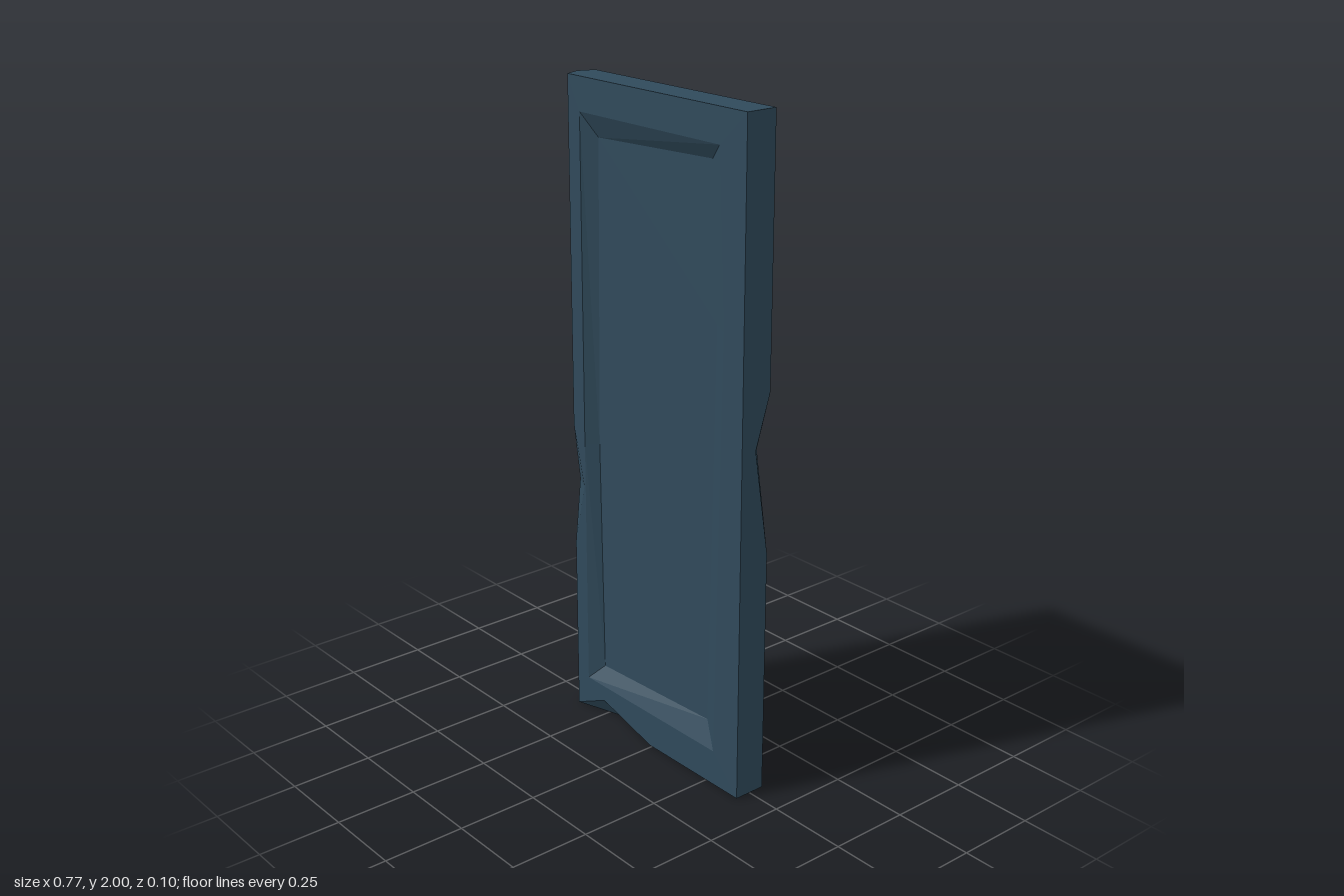
import * as THREE from 'three';

const Z = 0.05, H = 2, L = -0.365, R = 0.385, TIP = -0.385, DEPTH = 0.03;
const V = (x, y, z) => new THREE.Vector3(x, y, z);
const at = (z, list) => list.map(([x, y]) => V(x, y, z));

// Flat polygon with optional holes; corners run counter-clockwise seen from outside
function face(out, pts, holes = []) {
  const n = V(0, 0, 0);
  pts.forEach((p, i) => n.add(p.clone().cross(pts[(i + 1) % pts.length])));
  n.normalize();
  const u = Math.abs(n.y) > 0.9 ? V(1, 0, 0) : V(0, 1, 0).cross(n).normalize();
  const v = n.clone().cross(u);
  const flat = (loop) => loop.map((p) => new THREE.Vector2(p.dot(u), p.dot(v)));
  const all = [pts, ...holes].flat();
  const tris = THREE.ShapeUtils.triangulateShape(flat(pts), holes.map(flat));
  for (const t of tris) facing(out, t.map((i) => all[i]), n);
}

// One triangle turned towards a given direction
function facing(out, [a, b, c], dir) {
  const n = b.clone().sub(a).cross(c.clone().sub(a));
  out.push(...(n.dot(dir) > 0 ? [a, b, c] : [a, c, b]));
}

// Chip in an edge a-b, cut back to p and q on the two neighbouring faces
function chip(out, a, b, p, q) {
  const dir = a.clone().add(b).sub(p).sub(q);
  facing(out, [a, p, q], dir);
  facing(out, [b, p, q], dir);
}

// Sunken panel: sloped rim between two loops, then the floor
function recess(out, rim, floor, side) {
  const dir = V(0, 0, side);
  rim.forEach((a, i) => {
    const j = (i + 1) % rim.length;
    facing(out, [a, rim[j], floor[j]], dir);
    facing(out, [a, floor[j], floor[i]], dir);
  });
  face(out, side > 0 ? floor : [...floor].reverse());
}

function mesh(name, out, material) {
  const g = new THREE.BufferGeometry().setFromPoints(out);
  g.computeVertexNormals();
  const m = new THREE.Mesh(g, material);
  m.name = name;
  return m;
}

export function createModel() {
  const model = new THREE.Group();
  model.name = 'panel';
  const slate = new THREE.MeshStandardMaterial({ color: 0x304a5b });
  slate.name = 'slate blue';

  // Chip apexes
  const leftFront = V(-0.318, 0.76, Z), leftEdge = V(-0.377, 0.76, 0.02);
  const baseFront = V(-0.235, 0.06, Z), baseUnder = V(-0.2, 0, 0);
  const rightBack = V(0.335, 1.05, -Z), rightSide = V(R, 1.07, 0);
  const upperBack = V(-0.318, 1.6, -Z), upperEdge = V(-0.382, 1.57, -0.0075);
  const f = (x, y) => V(x, y, Z), b = (x, y) => V(x, y, -Z);
  const tip0 = V(TIP, 0, 0), tip2 = V(TIP, H, 0);

  // Rim and floor loops of the sunken panels
  const rimXY = (bulge) => [[-0.312, 0.11], [0.28, 0.11], [bulge, 1.4], [0.28, 1.9], [-0.312, 1.9], [-0.312, 0.9]];
  const floorXY = (bulge) => [[-0.265, 0.16], [0.22, 0.18], [bulge - 0.06, 1.4], [0.22, 1.85], [-0.265, 1.83], [-0.278, 0.9]];
  const rimF = at(Z, rimXY(0.305)), rimB = at(-Z, rimXY(0.28));

  const front = [], back = [], edges = [], chips = [];
  face(front, [f(L, 0), baseFront, f(-0.01, 0), f(R, 0), f(R, H), f(L, H), f(L, 0.95), leftFront, f(L, 0.56)], [rimF]);
  recess(front, rimF, at(Z - DEPTH, floorXY(0.305)), 1);
  face(back, [b(R, 0), b(L, 0), b(L, 1.45), upperBack, b(L, 1.73), b(L, H), b(R, H), b(R, 1.23), rightBack, b(R, 0.75)], [rimB]);
  recess(back, rimB, at(DEPTH - Z, floorXY(0.28)), -1);

  // Square edge, pointed edge, top and bottom
  face(edges, [f(R, 0), b(R, 0), b(R, 0.75), rightSide, b(R, 1.23), b(R, H), f(R, H)]);
  face(edges, [tip0, f(L, 0), f(L, 0.56), leftEdge, f(L, 0.95), f(L, H), tip2]);
  face(edges, [b(L, 0), tip0, tip2, b(L, H), b(L, 1.73), upperEdge, b(L, 1.45)]);
  face(edges, [f(L, H), f(R, H), b(R, H), b(L, H), tip2]);
  face(edges, [b(L, 0), b(R, 0), f(R, 0), f(-0.01, 0), baseUnder, f(L, 0), tip0]);

  chip(chips, f(L, 0.56), f(L, 0.95), leftFront, leftEdge);
  chip(chips, f(L, 0), f(-0.01, 0), baseFront, baseUnder);
  chip(chips, b(R, 0.75), b(R, 1.23), rightBack, rightSide);
  chip(chips, b(L, 1.45), b(L, 1.73), upperBack, upperEdge);

  model.add(mesh('frontFace', front, slate), mesh('backFace', back, slate),
    mesh('edges', edges, slate), mesh('chippedCorners', chips, slate));
  return model;
}
